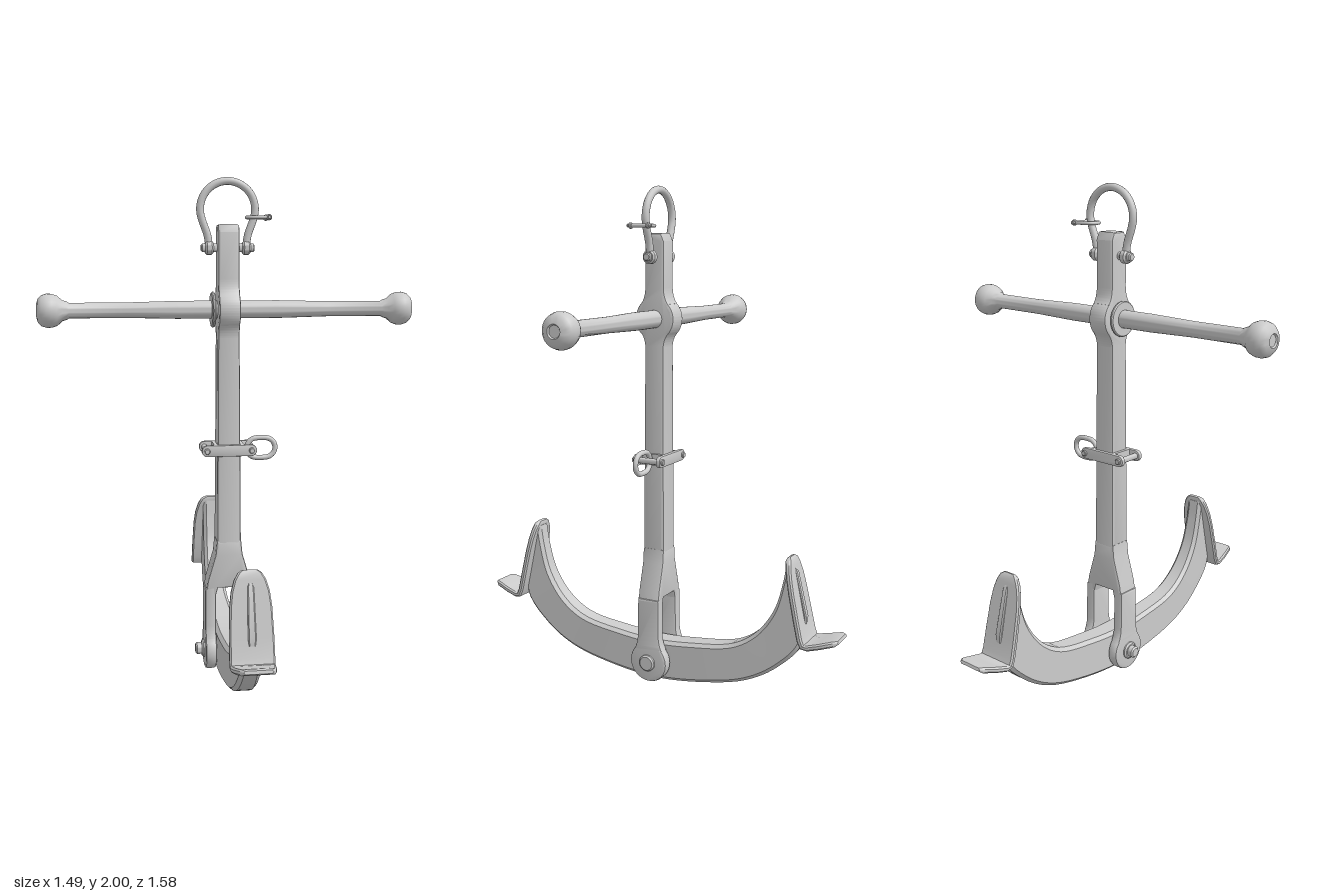
import * as THREE from 'three';
import { toCreasedNormals } from 'three/addons/utils/BufferGeometryUtils.js';

const material = new THREE.MeshStandardMaterial({ color: 0xcccccc });
const V = (x, y, z) => new THREE.Vector3(x, y, z);

export function createModel() {
  const root = new THREE.Group();
  const add = (name, geometry, parent = root) => {
    const mesh = new THREE.Mesh(geometry, material);
    mesh.name = name;
    parent.add(mesh);
    return mesh;
  };

  // Bevelled slab of an outline, centred on its thickness; side = true maps outline x to z
  const slab = (shape, thick, bevel, side) => {
    const g = new THREE.ExtrudeGeometry(shape, {
      depth: thick - 2 * bevel, bevelThickness: bevel, bevelSize: bevel,
      bevelOffset: -bevel, bevelSegments: 2, curveSegments: 16,
    });
    g.translate(0, 0, bevel - thick / 2);
    if (side) g.rotateY(-Math.PI / 2);
    return toCreasedNormals(g, 0.5);
  };

  // Closed skin through rings of points, with capped ends
  const loft = (rings, crease) => {
    const p = [], n = rings[0].length;
    const tri = (a, b, c) => p.push(...a.toArray(), ...b.toArray(), ...c.toArray());
    for (let i = 0; i < rings.length - 1; i++) {
      for (let j = 0; j < n; j++) {
        const k = (j + 1) % n, A = rings[i], B = rings[i + 1];
        tri(A[j], A[k], B[k]);
        tri(A[j], B[k], B[j]);
      }
    }
    const last = rings[rings.length - 1];
    for (let j = 1; j < n - 1; j++) {
      tri(rings[0][0], rings[0][j + 1], rings[0][j]);
      tri(last[0], last[j], last[j + 1]);
    }
    // Turn the skin outwards if its volume is negative
    let volume = 0;
    for (let i = 0; i < p.length; i += 9) {
      volume += V(...p.slice(i, i + 3)).dot(V(...p.slice(i + 3, i + 6)).cross(V(...p.slice(i + 6, i + 9))));
    }
    if (volume < 0) {
      for (let i = 0; i < p.length; i += 9) {
        for (let k = 0; k < 3; k++) [p[i + 3 + k], p[i + 6 + k]] = [p[i + 6 + k], p[i + 3 + k]];
      }
    }
    const g = new THREE.BufferGeometry();
    g.setAttribute('position', new THREE.Float32BufferAttribute(p, 3));
    return toCreasedNormals(g, crease);
  };

  // Chamfered rectangle between two points in the yz plane, half width w in x
  const section = (a, b, w, c) => {
    const t = Math.min(0.45, c / a.distanceTo(b)), d = Math.min(c, w * 0.45);
    return [[-w + d, 0], [w - d, 0], [w, t], [w, 1 - t], [w - d, 1], [-w + d, 1], [-w, 1 - t], [-w, t]]
      .map(([x, s]) => a.clone().lerp(b, s).setX(x));
  };

  const tube = (points, r, closed = false, steps = 64) =>
    new THREE.TubeGeometry(new THREE.CatmullRomCurve3(points, closed), steps, r, 12, closed);

  // Rounded-edge pin along x or z from one end to the other
  const pin = (name, axis, from, to, r, at, parent = root) => {
    const e = Math.min(r * 0.25, (to - from) * 0.3);
    const g = new THREE.LatheGeometry([[0, from], [r - e, from], [r, from + e], [r, to - e], [r - e, to], [0, to]]
      .map(([x, y]) => new THREE.Vector2(x, y)), 24);
    if (axis === 'x') g.rotateZ(-Math.PI / 2);
    else g.rotateX(Math.PI / 2);
    add(name, toCreasedNormals(g, 0.6), parent).position.set(...at);
  };

  // Shank with a round eye for the stock, slightly thicker towards the foot
  const s = new THREE.Shape();
  s.moveTo(-0.048, 0.45);
  s.lineTo(0.048, 0.45);
  s.lineTo(0.043, 1.38);
  s.quadraticCurveTo(0.045, 1.41, 0.06, 1.43);
  s.absarc(0, 1.49, 0.086, -0.75, 0.75);
  s.quadraticCurveTo(0.045, 1.57, 0.043, 1.61);
  s.lineTo(0.043, 1.79);
  s.lineTo(0.03, 1.82);
  s.lineTo(-0.03, 1.82);
  s.lineTo(-0.043, 1.79);
  s.lineTo(-0.043, 1.61);
  s.quadraticCurveTo(-0.045, 1.57, -0.063, 1.549);
  s.absarc(0, 1.49, 0.086, Math.PI - 0.75, Math.PI + 0.75);
  s.quadraticCurveTo(-0.045, 1.41, -0.043, 1.38);
  const shank = slab(s, 0.1, 0.012, true), sp = shank.attributes.position;
  for (let i = 0; i < sp.count; i++) {
    sp.setX(i, sp.getX(i) * (1 - 0.15 * THREE.MathUtils.clamp((sp.getY(i) - 0.5) / 1.0, 0, 1)));
  }
  add('shank', shank);

  // Fork at the foot of the shank
  const bridge = new THREE.Shape([[-0.05, 0.56], [-0.056, 0.5], [-0.088, 0.39], [-0.096, 0.33], [-0.053, 0.33],
    [-0.045, 0.36], [0.045, 0.36], [0.053, 0.33], [0.096, 0.33], [0.088, 0.39], [0.056, 0.5], [0.05, 0.56]]
    .map(([x, y]) => new THREE.Vector2(x, y)));
  add('forkBridge', slab(bridge, 0.096, 0.01, false));
  const leg = new THREE.Shape();
  leg.moveTo(0.048, 0.36);
  leg.lineTo(-0.048, 0.36);
  leg.lineTo(-0.05, 0.2);
  leg.quadraticCurveTo(-0.052, 0.17, -0.065, 0.145);
  leg.absarc(0, 0.09, 0.083, Math.PI - 0.72, Math.PI * 2 + 0.72);
  leg.quadraticCurveTo(0.052, 0.17, 0.05, 0.2);
  for (const side of [-1, 1]) add('forkLeg', slab(leg, 0.045, 0.01, true)).position.x = side * 0.076;
  pin('crownPin', 'x', -0.135, 0.1, 0.024, [0, 0.09, 0]);
  pin('crownPinHead', 'x', 0.095, 0.115, 0.034, [0, 0.09, 0]);
  pin('crownPinCollar', 'x', -0.11, -0.09, 0.036, [0, 0.09, 0]);

  // Curved arms, one piece from tip to tip
  const inner = [[0, 0.172], [0.165, 0.183], [0.35, 0.215], [0.45, 0.28], [0.52, 0.38], [0.553, 0.49], [0.568, 0.58]];
  const outer = [[0, 0.004], [0.2, 0.022], [0.405, 0.07], [0.54, 0.15], [0.64, 0.27], [0.617, 0.43], [0.584, 0.58]];
  const whole = pts => new THREE.CatmullRomCurve3([
    ...pts.slice(1).reverse().map(([z, y]) => V(0, y, -z)), ...pts.map(([z, y]) => V(0, y, z))]);
  const ci = whole(inner), co = whole(outer), arm = [];
  for (let i = 0; i <= 72; i++) {
    const a = ci.getPoint(i / 72), b = co.getPoint(i / 72);
    arm.push(section(a, b, 0.05 - 0.045 * a.z * a.z, 0.014));
  }
  add('arms', loft(arm, 0.45));

  // Flukes: palm plate, bent-out toe and a raised rib
  const path = [[0.576, 0.6, 0.028], [0.579, 0.59, 0.043], [0.585, 0.565, 0.058], [0.594, 0.525, 0.07],
    [0.606, 0.47, 0.077], [0.628, 0.37, 0.081], [0.645, 0.295, 0.082], [0.656, 0.27, 0.082], [0.675, 0.268, 0.081],
    [0.72, 0.28, 0.075], [0.775, 0.297, 0.064], [0.79, 0.302, 0.052]];
  const plate = path.map(([z, y, w], i) => {
    const p = path[Math.max(0, i - 1)], q = path[Math.min(path.length - 1, i + 1)];
    const n = V(0, q[0] - p[0], p[1] - q[1]).normalize();
    const h = i === 0 || i === path.length - 1 ? 0.006 : 0.011;
    return section(V(0, y, z).addScaledVector(n, -h), V(0, y, z).addScaledVector(n, h), w, 0.006);
  });
  for (const turn of [0, Math.PI]) {
    const fluke = new THREE.Group();
    fluke.name = 'fluke';
    fluke.rotation.y = turn;
    add('palm', loft(plate, 0.7), fluke);
    const rib = [[0.589, 0.575, 0.006], [0.607, 0.54, 0.012], [0.648, 0.37, 0.015], [0.648, 0.34, 0.013]]
      .map(([z, y, w]) => section(V(0, y, z - 0.02), V(0, y, z), w, 0.004));
    add('palmRib', loft(rib, 0.5), fluke);
    root.add(fluke);
  }

  // Stock with ball ends and a washer
  const half = [[0.035, 0], [0.035, 0.2], [0.03, 0.4], [0.03, 0.62], [0.036, 0.63], [0.04, 0.645], [0.058, 0.665],
    [0.065, 0.685], [0.066, 0.705], [0.06, 0.725], [0.046, 0.739], [0.026, 0.745], [0.022, 0.739], [0, 0.739]];
  const profile = [...half.slice(1).reverse().map(([r, x]) => new THREE.Vector2(r, -x)),
    ...half.map(([r, x]) => new THREE.Vector2(r, x))];
  const stock = new THREE.LatheGeometry(profile, 32);
  stock.rotateZ(-Math.PI / 2);
  add('stock', toCreasedNormals(stock, 0.7)).position.y = 1.49;
  pin('stockWasher', 'x', -0.066, -0.052, 0.07, [0, 1.49, 0]);

  // Bow shackle at the head
  const bow = [V(-0.072, 1.73, 0), V(-0.08, 1.78, 0)];
  for (let i = 0; i <= 12; i++) {
    const a = Math.PI * (1.12 - 1.24 * i / 12);
    bow.push(V(0.108 * Math.cos(a), 1.877 + 0.108 * Math.sin(a), 0));
  }
  bow.push(V(0.08, 1.78, 0), V(0.072, 1.73, 0));
  add('shackleBow', tube(bow, 0.015));
  for (const side of [-1, 1]) pin('shackleEye', 'x', -0.016, 0.016, 0.027, [side * 0.073, 1.73, 0]);
  pin('shacklePin', 'x', -0.105, 0.105, 0.016, [0, 1.73, 0]);

  // Small keeper shackle hooked on the bow
  add('keeperBow', tube([V(0.155, 1.847, -0.036), V(0.115, 1.847, -0.034), V(0.085, 1.847, -0.025),
    V(0.075, 1.847, 0), V(0.085, 1.847, 0.025), V(0.115, 1.847, 0.034), V(0.155, 1.847, 0.036)], 0.007, false, 32));
  pin('keeperPin', 'z', -0.052, 0.052, 0.007, [0.157, 1.847, 0]);
  for (const side of [-1, 1]) pin('keeperEye', 'z', -0.006, 0.006, 0.012, [0.157, 1.847, side * 0.037]);

  // Clamp round the shank, with bolts and a hanging link
  const strap = new THREE.Shape();
  strap.absarc(0.088, 0, 0.023, -Math.PI / 2, Math.PI / 2);
  strap.absarc(-0.088, 0, 0.023, Math.PI / 2, Math.PI * 1.5);
  for (const side of [-1, 1]) {
    add('clampStrap', slab(strap, 0.018, 0.004, false)).position.set(0, 0.932, side * 0.052);
    pin('clampBolt', 'z', -0.07, 0.07, 0.012, [side * 0.09, 0.932, 0]);
    add('clampSide', new THREE.BoxGeometry(0.014, 0.046, 0.1)).position.set(side * 0.053, 0.932, 0);
  }
  const link = [];
  for (let i = 0; i < 16; i++) {
    const a = (i + 0.5) / 16 * Math.PI * 2;
    link.push(V(0.136 + 0.04 * Math.cos(a) + Math.sign(Math.cos(a)) * 0.018, 0.932 + 0.04 * Math.sin(a), 0));
  }
  add('clampLink', tube(link, 0.0105, true));

  return root;
}
